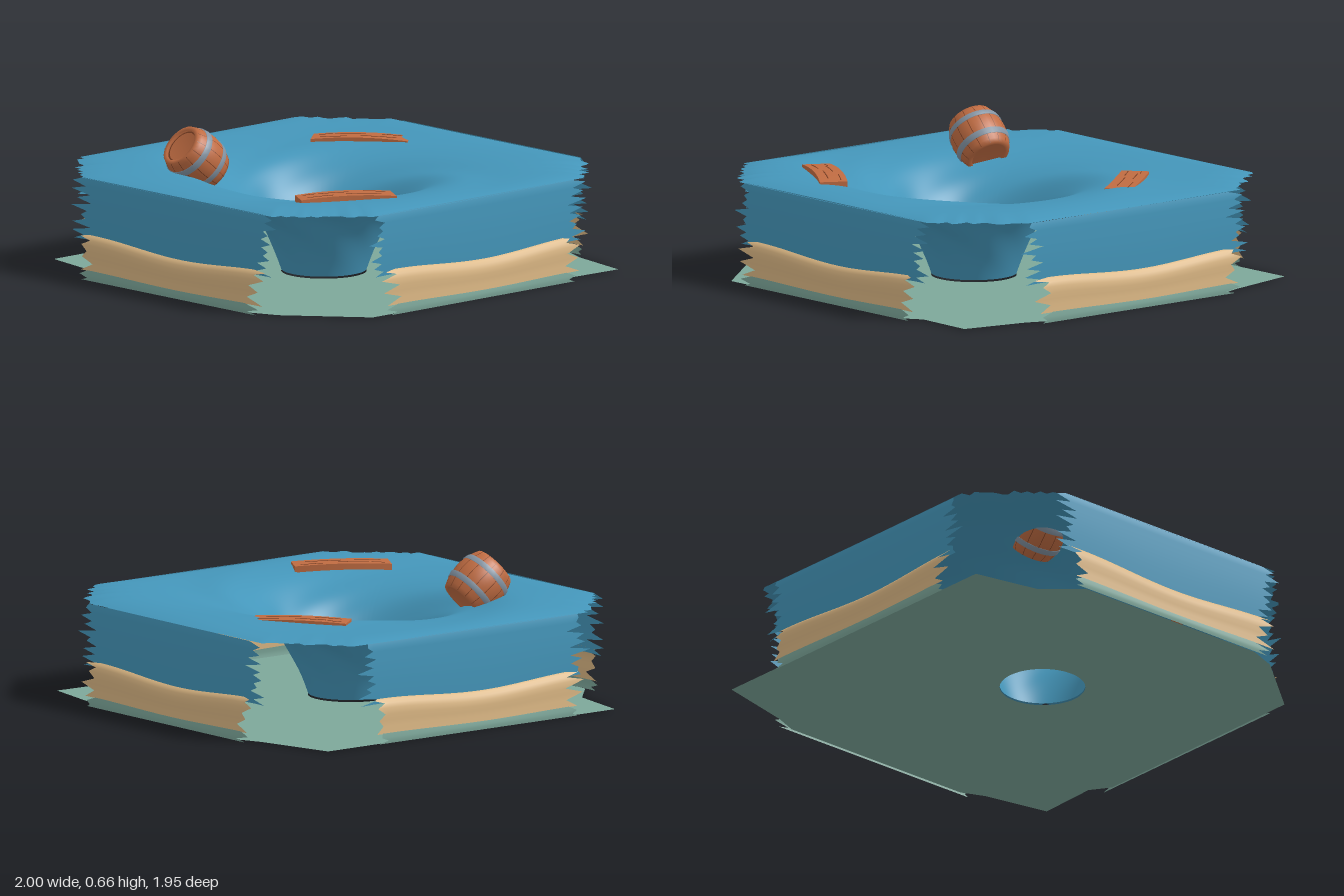
import * as THREE from 'three';

const mat = (name, color, side = THREE.DoubleSide) =>
  Object.assign(new THREE.MeshStandardMaterial({ color, side }), { name });

// Small seeded random generator
function seeded(seed) {
  let s = seed;
  return () => (s = (s * 16807) % 2147483647) / 2147483647;
}

// Surface from a rule: fn(row, col) -> [x, y, z]
function grid(rows, cols, fn, wrap = false) {
  const pos = [], idx = [], w = wrap ? cols : cols + 1;
  for (let i = 0; i <= rows; i++) for (let j = 0; j < w; j++) pos.push(...fn(i, j));
  for (let i = 0; i < rows; i++) for (let j = 0; j < cols; j++) {
    const k = (j + 1) % w;
    const a = i * w + j, b = a + w, c = i * w + k, d = c + w;
    idx.push(a, b, c, b, d, c);
  }
  const g = new THREE.BufferGeometry();
  g.setAttribute('position', new THREE.Float32BufferAttribute(pos, 3));
  g.setIndex(idx);
  g.computeVertexNormals();
  return g;
}

function add(parent, name, geo, material) {
  const m = new THREE.Mesh(geo, material);
  m.name = name;
  parent.add(m);
  return m;
}

const CX = -0.085, CZ = 0.04, HOLE = 0.19;

// Distance from the whirlpool centre to the cut-corner outline
function rimDistance(t, rnd) {
  const c = Math.cos(t), s = Math.sin(t);
  const toX = ((c > 0 ? 0.95 : 0.96) - Math.sign(c) * CX) / Math.abs(c);
  const toZ = (0.94 - Math.sign(s) * CZ) / Math.abs(s);
  const side = Math.min(toX, toZ);
  const sx = Math.sign(c), sz = Math.sign(s);
  const diag = (1.585 - sx * CX - sz * CZ) / (Math.abs(c) + Math.abs(s));
  return diag < side ? Math.min(side, diag + (rnd() - 0.5) * 0.05) : side;
}

function waterHeight(r, t, edge) {
  const funnel = 0.46 * Math.exp(-(r - HOLE) / 0.155);
  const twist = t - 2.1 * Math.log(r);
  const grow = Math.min(1, (r - HOLE) / 0.12) * (1 - edge ** 6);
  const ripple = 0.009 * Math.sin(3 * twist + 0.6) + 0.006 * Math.sin(7 * twist) * Math.exp(-(r - HOLE) / 0.35);
  return 0.472 - funnel + ripple * grow - 0.02 * edge ** 14;
}

function whirlpool() {
  const cols = 240, rows = 60, rnd = seeded(77), rim = [];
  for (let j = 0; j < cols; j++) rim.push(rimDistance(-j / cols * Math.PI * 2 + 0.001, rnd));
  return grid(rows, cols, (i, j) => {
    const t = -j / cols * Math.PI * 2 + 0.001, s = i / rows;
    const r = HOLE + (rim[j] - HOLE) * s ** 1.25;
    return [CX + r * Math.cos(t), waterHeight(r, t, s), CZ + r * Math.sin(t)];
  }, true);
}

// Wall strip with torn ends; profile holds [y, outward offset] from top to bottom
function strip(profile, half, tear, offset, wave, rnd) {
  const rows = profile.length - 1, cols = 40;
  const ends = profile.map((_, i) => [0, 1].map(() => half + (i % 2 ? 1 : -1) * tear * rnd()));
  return grid(rows, cols, (i, j) => {
    const x = THREE.MathUtils.lerp(-ends[i][0], ends[i][1], j / cols);
    const [y, out, k] = profile[i];
    return [x, y + k * wave * Math.cos(x * 5.5 + 2.9), offset + out];
  });
}

function barrel(wood, dark, metal) {
  const g = new THREE.Group();
  g.name = 'barrel';
  const L = 0.108, radius = y => 0.125 - 0.026 * (y / L) ** 2;
  const pts = [[0, -L + 0.012], [0.08, -L + 0.012], [0.08, -L]];
  for (let i = 0; i <= 12; i++) { const y = -L + i * L / 6; pts.push([radius(y), y]); }
  pts.push([0.08, L], [0.08, L - 0.012], [0, L - 0.012]);
  const lathe = p => new THREE.LatheGeometry(p.map(q => new THREE.Vector2(...q)), 32);
  add(g, 'barrelBody', lathe(pts), wood);
  // Metal hoops
  for (const y of [-0.052, 0.052]) {
    const h = 0.013;
    add(g, 'hoop', lathe([[radius(y - h) - 0.002, y - h], [radius(y - h) + 0.004, y - h],
      [radius(y + h) + 0.004, y + h], [radius(y + h) - 0.002, y + h]]), metal);
  }
  // Gaps between staves
  for (let k = 0; k < 14; k++) {
    const a = k / 14 * Math.PI * 2, w = 0.012;
    add(g, 'staveGap', grid(10, 1, (i, j) => {
      const y = -L + i * L / 5, r = radius(y) + 0.0012, t = a + (j - 0.5) * w * 2;
      return [r * Math.cos(t), y, r * Math.sin(t)];
    }), dark);
  }
  // Dark ring inside the lid lip
  const ring = add(g, 'lidRing', new THREE.RingGeometry(0.073, 0.08, 32), dark);
  ring.rotation.x = -Math.PI / 2;
  ring.position.y = L - 0.011;
  g.position.set(-0.5, 0.51, -0.345);
  g.quaternion.setFromUnitVectors(new THREE.Vector3(0, 1, 0), new THREE.Vector3(-0.75, 0.64, -0.13).normalize());
  return g;
}

// Slightly bowed plank with thin grain marks
function plank(wood, dark, x, y, z, turn) {
  const g = new THREE.Group();
  g.name = 'plank';
  const bow = geo => {
    const p = geo.attributes.position;
    for (let i = 0; i < p.count; i++) {
      p.setY(i, p.getY(i) - 0.2 * p.getX(i) ** 2);
      p.setZ(i, p.getZ(i) + 0.25 * p.getX(i) ** 2);
    }
    geo.computeVertexNormals();
    return geo;
  };
  add(g, 'plankBoard', bow(new THREE.BoxGeometry(0.435, 0.028, 0.125, 12, 1, 1)), wood);
  for (const [gx, gz, len] of [[-0.12, 0.03, 0.12], [0.08, 0.02, 0.16], [-0.05, -0.02, 0.14], [0.14, -0.035, 0.1], [-0.16, -0.03, 0.06]]) {
    const mark = new THREE.BoxGeometry(len, 0.002, 0.004, 6, 1, 1);
    mark.translate(gx, 0.0145, gz);
    add(g, 'grainMark', bow(mark), dark);
  }
  g.position.set(x, y, z);
  g.rotation.y = turn;
  return g;
}

export function createModel() {
  const model = new THREE.Group();
  model.name = 'whirlpoolTile';
  const water = mat('water', 0x4496ba), sand = mat('sand', 0xdab683), seabed = mat('seabed', 0x7da79a);
  const wood = mat('wood', 0xc06c42), dark = mat('darkWood', 0x7d4024), metal = mat('metal', 0x8494a3);

  add(model, 'whirlpool', whirlpool(), water);

  // Four side walls: water, sand band and seabed edge
  const waterProfile = [];
  for (let i = 0; i <= 15; i++) {
    const k = i / 15;
    waterProfile.push([0.452 - 0.29 * k, i ? 0.004 * Math.sin(k * Math.PI) : -0.004, k]);
  }
  const sandProfile = [[0.185, 0, 1], [0.178, 0.012, 1], [0.165, 0.022, 1], [0.145, 0.029, 1], [0.12, 0.032, 0.8],
    [0.095, 0.03, 0.6], [0.07, 0.031, 0.5], [0.04, 0.033, 0.3]];
  const bedProfile = [[0.042, 0.033, 0.3], [0.025, 0.036, 0.1], [0.012, 0.036, 0], [0, 0.034, 0]];
  const sides = [['front', 0, 0.94], ['left', Math.PI / 2, 0.962], ['back', Math.PI, 0.94], ['right', -Math.PI / 2, 0.962]];
  sides.forEach(([name, turn, offset], n) => {
    const rnd = seeded(1234 + n * 991);
    const wall = new THREE.Group();
    wall.name = name + 'Wall';
    wall.rotation.y = turn;
    add(wall, 'waterSide', strip(waterProfile, 0.595, 0.07, offset, 0.014, rnd), water);
    add(wall, 'sandBand', strip(sandProfile, 0.55, 0.06, offset, 0.014, rnd), sand);
    add(wall, 'seabedEdge', strip(bedProfile, 0.54, 0.05, offset, 0.014, rnd), seabed);
    model.add(wall);
  });

  // Floor sheet with the drain hole
  const floor = new THREE.Shape([[-0.78, -0.97], [0.85, -0.975], [0.94, -0.61], [0.985, -0.5], [0.985, 0.5], [0.94, 0.61],
    [0.88, 0.92], [0.59, 0.91], [0.5, 0.97], [-0.66, 0.965], [-0.93, 0.64], [-0.985, 0.5], [-0.985, -0.5], [-0.84, -0.66]]
    .map(p => new THREE.Vector2(...p)));
  floor.holes.push(new THREE.Path().absarc(CX, CZ, HOLE, 0, Math.PI * 2, true));
  const bed = add(model, 'seabedFloor', new THREE.ShapeGeometry(floor, 32), seabed);
  bed.rotation.x = Math.PI / 2;
  bed.position.y = 0.003;

  model.add(barrel(wood, dark, metal));
  model.add(plank(wood, dark, -0.46, 0.468, 0.575, -Math.PI / 6));
  model.add(plank(wood, dark, 0.515, 0.462, -0.355, -0.88));
  return model;
}
